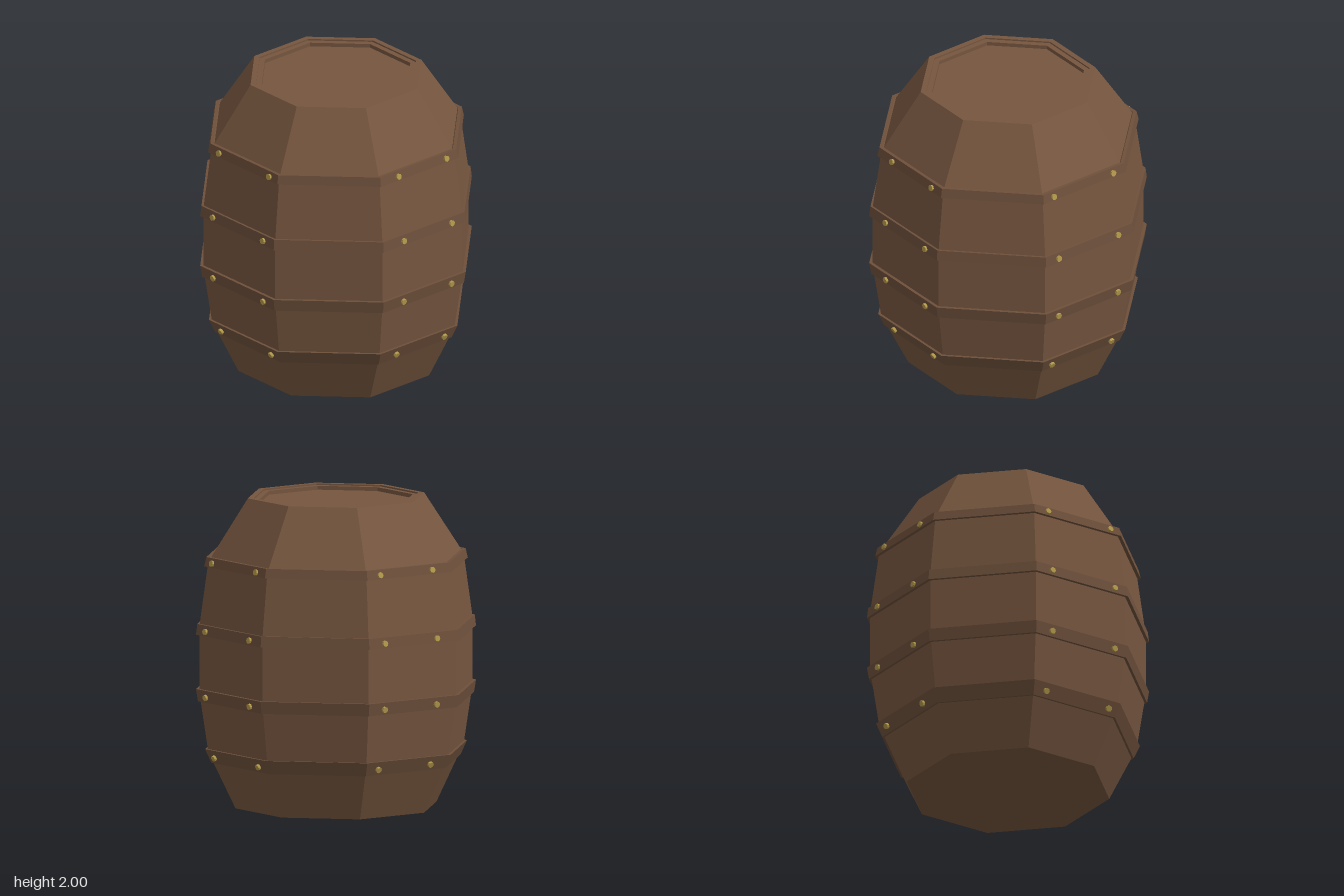
import * as THREE from 'three';

const wood = new THREE.MeshStandardMaterial({ color: 0x76563f, flatShading: true });
const hoopWood = new THREE.MeshStandardMaterial({ color: 0x6e503b, flatShading: true });
const brass = new THREE.MeshStandardMaterial({ color: 0xb59a4c, flatShading: true });

// Eight-sided lathe; profile is [apothem, y], flat faces towards the axes
function octagon(profile, material, name) {
  const k = 1 / Math.cos(Math.PI / 8);
  const pts = profile.map(([a, y]) => new THREE.Vector2(a * k, y));
  const geo = new THREE.LatheGeometry(pts, 8, Math.PI / 8).toNonIndexed();
  geo.computeVertexNormals();
  const mesh = new THREE.Mesh(geo, material);
  mesh.name = name;
  return mesh;
}

export function createModel() {
  const barrel = new THREE.Group();
  barrel.name = 'barrel';

  // Staves, base and recessed lid in one closed profile
  barrel.add(octagon([
    [0, 0], [0.61, 0], [0.775, 0.37], [0.83, 0.76], [0.83, 1.18], [0.775, 1.6],
    [0.535, 2], [0.5, 2], [0.5, 1.99], [0.465, 1.99], [0.465, 1.965], [0, 1.965],
  ], wood, 'body'));

  // Hoops: bottom y, top y, bottom apothem, top apothem
  const hoops = [
    [0.30, 0.39, 0.757, 0.795],
    [0.70, 0.78, 0.838, 0.85],
    [1.13, 1.20, 0.85, 0.842],
    [1.57, 1.63, 0.8, 0.787],
  ];
  const studGeo = new THREE.CylinderGeometry(0.02, 0.02, 0.03, 8).rotateX(Math.PI / 2);

  hoops.forEach(([y0, y1, a0, a1], i) => {
    const hoop = new THREE.Group();
    hoop.name = 'hoop' + (i + 1);
    hoop.add(octagon([
      [a0 - 0.04, y0], [a0, y0], [a1, y1], [a1 - 0.022, y1], [a1 - 0.04, y1 - 0.02],
    ], hoopWood, 'hoopBand'));

    // Two studs on each of the four axis-facing sides
    const tilt = Math.atan2(a1 - a0, y1 - y0);
    for (let s = 0; s < 4; s++) {
      const side = new THREE.Group();
      side.name = 'studPair';
      side.rotation.y = s * Math.PI / 2;
      // Studs sit slightly off centre, shifted the same way on opposite sides
      const shift = [0.025, -0.01, -0.025, 0.01][s];
      for (const d of [-0.205, 0.205]) {
        const spread = s % 2 ? d * 1.17 : d;
        const stud = new THREE.Mesh(studGeo, brass);
        stud.name = 'stud';
        stud.position.set(spread + shift, (y0 + y1) / 2 - 0.005, (a0 + a1) / 2);
        stud.rotation.x = tilt;
        side.add(stud);
      }
      hoop.add(side);
    }
    barrel.add(hoop);
  });

  return barrel;
}
